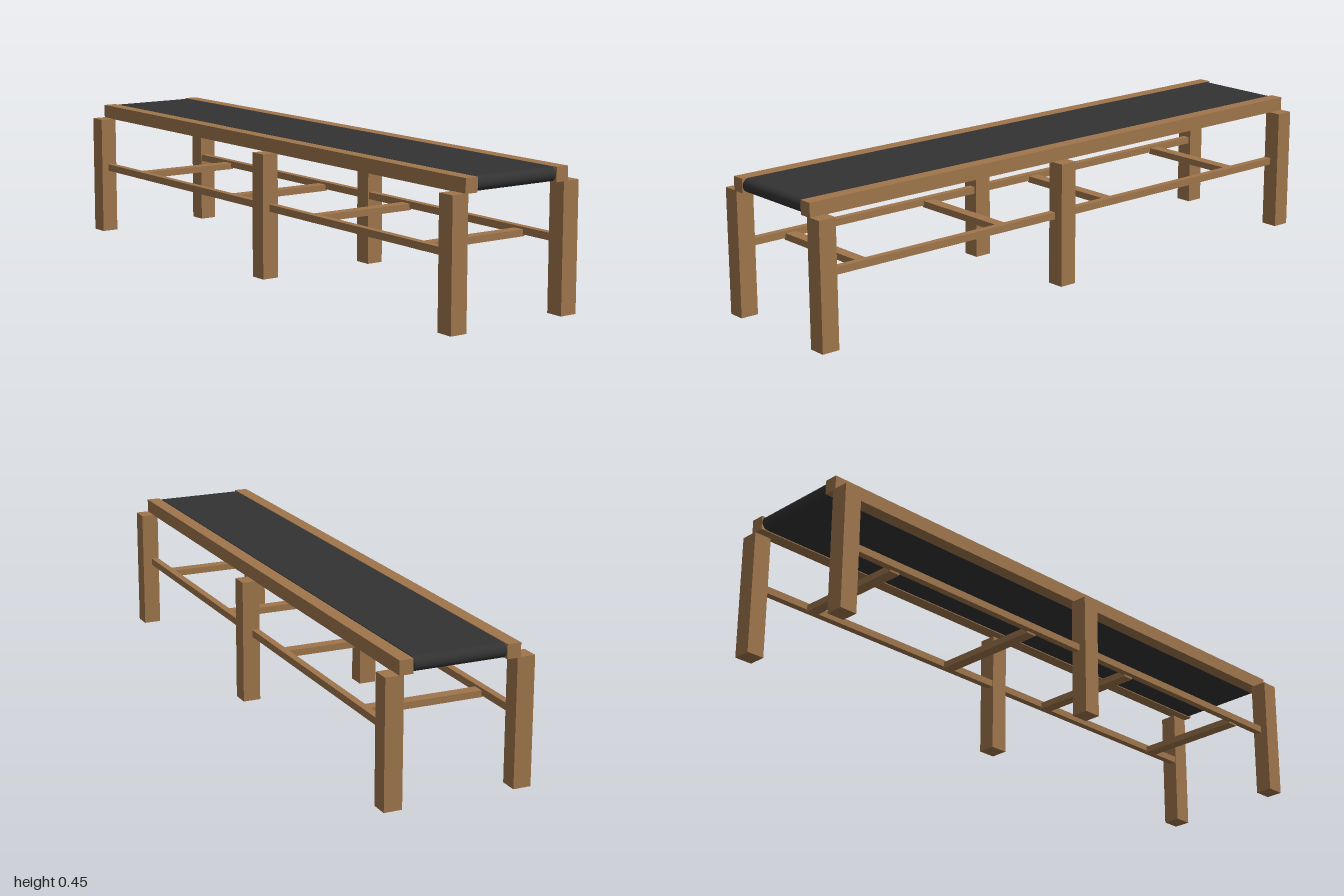
import * as THREE from 'three';

export function createModel() {
  const model = new THREE.Group();
  model.name = 'conveyorTable';
  const wood = new THREE.MeshStandardMaterial({ color: 0xa0764c });
  const rubber = new THREE.MeshStandardMaterial({ color: 0x333333 });

  // Box given by its [min, max] along each axis
  function beam(name, [x0, x1], [y0, y1], [z0, z1]) {
    const mesh = new THREE.Mesh(new THREE.BoxGeometry(x1 - x0, y1 - y0, z1 - z0), wood);
    mesh.position.set((x0 + x1) / 2, (y0 + y1) / 2, (z0 + z1) / 2);
    mesh.name = name;
    model.add(mesh);
  }

  // Three pairs of legs
  for (const z of [[-1, -0.941], [0.012, 0.071], [0.941, 1]]) {
    beam('leftLeg', [0.18, 0.238], [0, 0.402], z);
    beam('rightLeg', [-0.238, -0.181], [0, 0.402], z);
  }

  // Side rails beside the belt
  beam('leftRail', [0.151, 0.195], [0.401, 0.446], [-1, 1]);
  beam('rightRail', [-0.191, -0.147], [0.401, 0.446], [-1, 1]);

  // Long stretchers between the legs
  beam('leftStretcher', [0.183, 0.206], [0.217, 0.24], [-0.96, 0.96]);
  beam('rightStretcher', [-0.213, -0.19], [0.217, 0.24], [-0.96, 0.96]);

  // Cross bars joining the stretchers
  for (const z of [-0.765, -0.19, 0.265, 0.805]) {
    beam('crossBar', [-0.195, 0.19], [0.211, 0.2325], [z - 0.019, z + 0.019]);
  }

  // Belt: a long loop with round ends, extruded across the table
  const r = 0.022, half = 1 - r, width = 0.293;
  const loop = new THREE.Shape();
  loop.absarc(half, 0, r, -Math.PI / 2, Math.PI / 2, false);
  loop.absarc(-half, 0, r, Math.PI / 2, Math.PI * 1.5, false);
  const beltGeometry = new THREE.ExtrudeGeometry(loop, { depth: width, bevelEnabled: false, curveSegments: 12 });
  beltGeometry.translate(0, 0, -width / 2);
  beltGeometry.rotateY(Math.PI / 2);
  const belt = new THREE.Mesh(beltGeometry, rubber);
  belt.position.set(0.0015, 0.424, 0);
  belt.name = 'belt';
  model.add(belt);

  return model;
}
